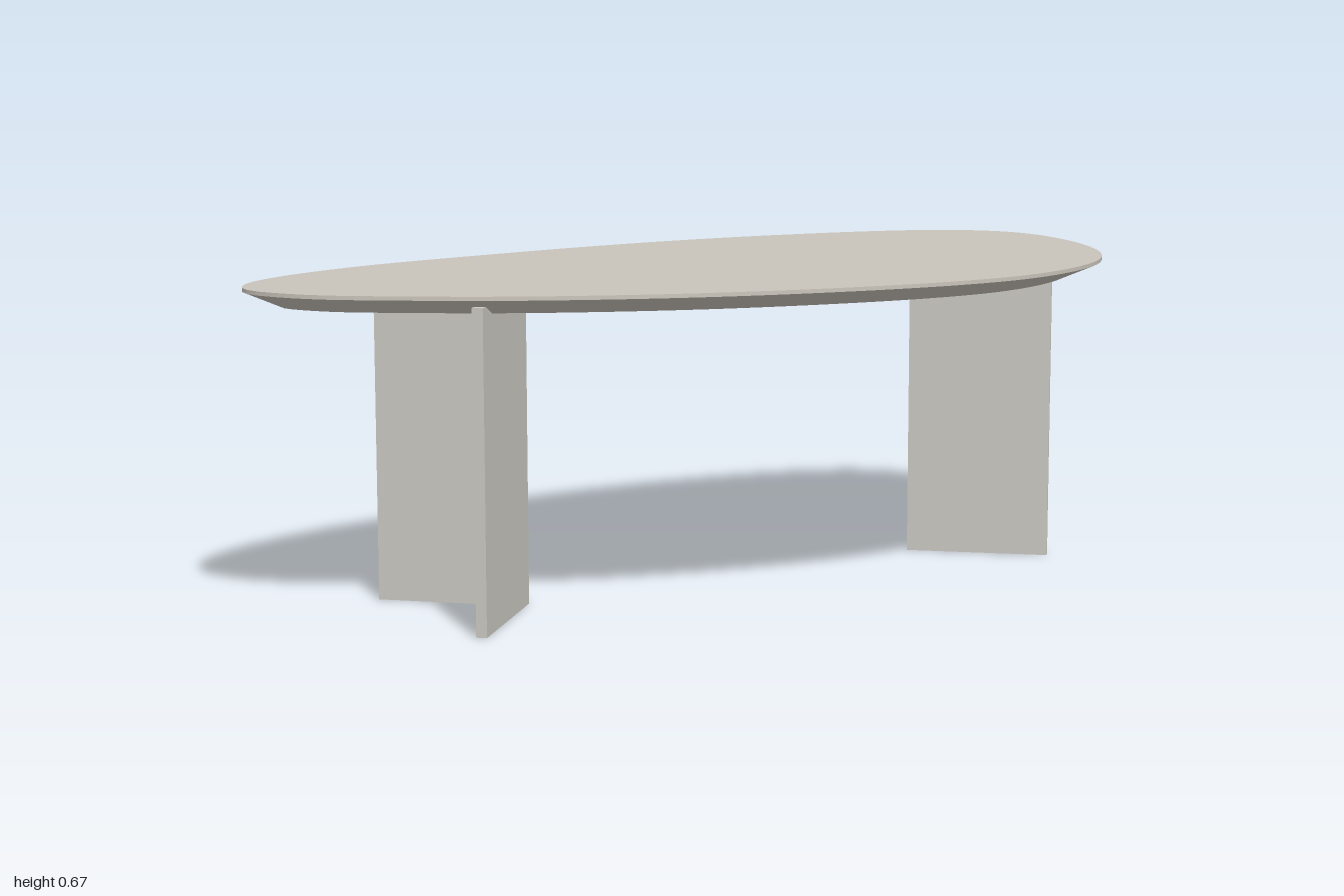
import * as THREE from 'three';

const topMaterial = new THREE.MeshStandardMaterial({ color: 0xc9c4ba });
topMaterial.name = 'warm stone';
const legMaterial = new THREE.MeshStandardMaterial({ color: 0xcac8c1 });
legMaterial.name = 'pale stone';

// Pebble outline of the top as [x, z], clockwise seen from above
const OUTLINE = [
  [-1, -0.14], [-0.965, -0.23], [-0.86, -0.315], [-0.62, -0.41], [-0.3, -0.468],
  [0, -0.502], [0.25, -0.51], [0.5, -0.49], [0.75, -0.44], [0.9, -0.375],
  [0.98, -0.28], [1, -0.18], [0.965, 0], [0.87, 0.2], [0.75, 0.34],
  [0.6, 0.435], [0.43, 0.492], [0.25, 0.505], [0, 0.475], [-0.3, 0.395],
  [-0.6, 0.26], [-0.8, 0.125], [-0.94, 0],
];
const SEGMENTS = 128;

const curve = new THREE.CatmullRomCurve3(
  OUTLINE.map(([x, z]) => new THREE.Vector3(x, 0, z)), true, 'centripetal');

// Outline at height y, moved inwards by inset
function ring(y, inset) {
  const points = [];
  for (let i = 0; i < SEGMENTS; i++) {
    const p = curve.getPointAt(i / SEGMENTS);
    const t = curve.getTangentAt(i / SEGMENTS);
    points.push(new THREE.Vector3(p.x - t.z * inset, y, p.z + t.x * inset));
  }
  return points;
}

function meshFrom(name, points, index, material) {
  const geometry = new THREE.BufferGeometry().setFromPoints(points);
  geometry.setIndex(index);
  geometry.computeVertexNormals();
  const mesh = new THREE.Mesh(geometry, material);
  mesh.name = name;
  return mesh;
}

// Smooth band between an upper and a lower ring
function band(name, upper, lower) {
  const index = [];
  for (let i = 0; i < SEGMENTS; i++) {
    const j = (i + 1) % SEGMENTS;
    index.push(i, j, SEGMENTS + j, i, SEGMENTS + j, SEGMENTS + i);
  }
  return meshFrom(name, [...upper, ...lower], index, topMaterial);
}

// Flat fan closing a ring
function cap(name, points, up) {
  const index = [];
  for (let i = 0; i < SEGMENTS; i++) {
    const j = (i + 1) % SEGMENTS;
    index.push(SEGMENTS, up ? j : i, up ? i : j);
  }
  return meshFrom(name, [...points, new THREE.Vector3(0, points[0].y, 0)], index, topMaterial);
}

// V-shaped leg of two upright panels, open towards the end of the table
const LEG_PROFILE = [
  [0.52, -0.02], [0.74, 0.197], [0.755, 0.181],
  [0.551, -0.016], [0.755, -0.226], [0.74, -0.243],
];

function leg(name, placeX) {
  const shape = new THREE.Shape(LEG_PROFILE.map(([x, z]) => new THREE.Vector2(placeX(x), -z)));
  const geometry = new THREE.ExtrudeGeometry(shape, { depth: 0.642, bevelEnabled: false });
  geometry.rotateX(-Math.PI / 2);
  const mesh = new THREE.Mesh(geometry, legMaterial);
  mesh.name = name;
  return mesh;
}

export function createModel() {
  const table = new THREE.Group();
  table.name = 'table';

  // Top: thin upright rim with a wide chamfer underneath
  const tableTop = new THREE.Group();
  tableTop.name = 'tableTop';
  const upper = ring(0.666, 0);
  const rim = ring(0.658, 0);
  const under = ring(0.625, 0.078);
  tableTop.add(
    cap('topSurface', upper, true),
    band('rim', upper, rim),
    band('chamfer', rim, under),
    cap('underside', under, false),
  );

  table.add(tableTop, leg('leftLeg', (x) => x), leg('rightLeg', (x) => 0.07 - x));
  return table;
}
